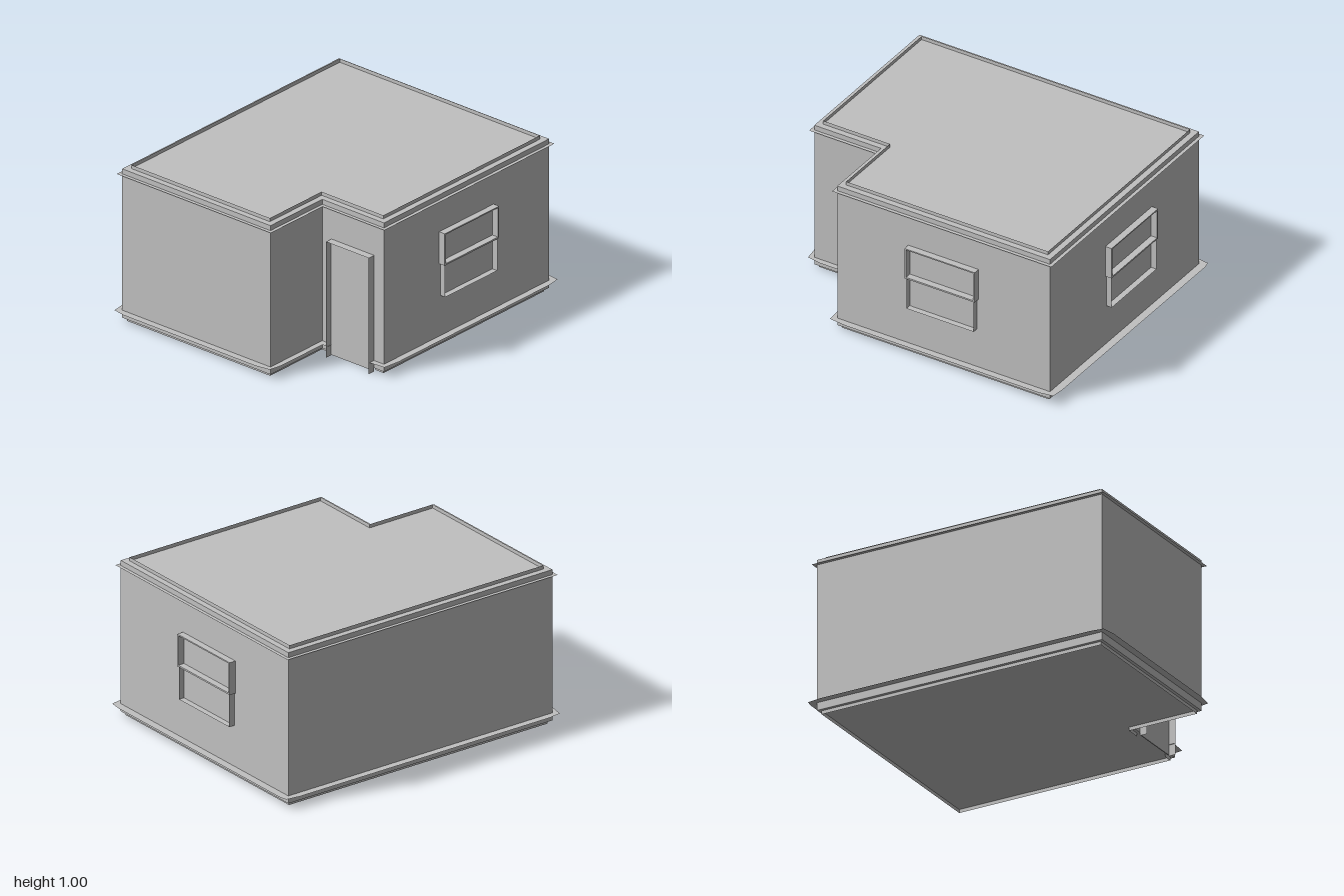
import * as THREE from 'three';

const plaster = new THREE.MeshStandardMaterial({ color: 0xc0c0c0, side: THREE.DoubleSide });
plaster.name = 'plaster grey';

function mesh(name, geometry) {
  const m = new THREE.Mesh(geometry, plaster);
  m.name = name;
  return m;
}

// L-shaped footprint as [x, z] corners, pushed outward by d
const footprint = (d) => [
  [0.8 + d, 0.5 + d], [0.8 + d, -0.95 - d], [-0.8 - d, -0.95 - d],
  [-0.8 - d, 0.955 + d], [0.33 + d, 0.955 + d], [0.33 + d, 0.5 + d],
];

const planShape = (pts) => new THREE.Shape(pts.map(([x, z]) => new THREE.Vector2(x, -z)));

// Thin horizontal ledge at height y
function ledge(name, shape, y) {
  const m = mesh(name, new THREE.ShapeGeometry(shape).rotateX(-Math.PI / 2));
  m.position.y = y;
  return m;
}

// Thin sheet that follows a polyline: base points p, swept by the vector v
function ribbon(points, v) {
  const pos = [];
  for (let i = 0; i < points.length - 1; i++) {
    const a = points[i], b = points[i + 1];
    const c = b.map((n, k) => n + v[k]), d = a.map((n, k) => n + v[k]);
    pos.push(...a, ...b, ...c, ...a, ...c, ...d);
  }
  const g = new THREE.BufferGeometry();
  g.setAttribute('position', new THREE.Float32BufferAttribute(pos, 3));
  g.computeVertexNormals();
  return g;
}

// Window standing proud of a wall, facing +z, centred on x
function createWindow(name, width) {
  const group = new THREE.Group();
  group.name = name;
  const w = width / 2, i = w - 0.01;
  // Upper sash: box frame with a narrow face
  const sash = new THREE.Shape();
  sash.moveTo(-w, 0.535).lineTo(w, 0.535).lineTo(w, 0.74).lineTo(-w, 0.74).closePath();
  const hole = new THREE.Path();
  hole.moveTo(-i, 0.545).lineTo(-i, 0.732).lineTo(i, 0.732).lineTo(i, 0.545).closePath();
  sash.holes.push(hole);
  group.add(mesh('upperSash', new THREE.ExtrudeGeometry(sash, { depth: 0.042, bevelEnabled: false })));
  // Lower sash: thin open surround
  const lower = [[-i, 0.54, 0], [-i, 0.328, 0], [i, 0.328, 0], [i, 0.54, 0]];
  group.add(mesh('lowerSash', ribbon(lower, [0, 0, 0.037])));
  return group;
}

export function createModel() {
  const house = new THREE.Group();
  house.name = 'house';

  // Walls with roof and floor
  const walls = mesh('walls', new THREE.ExtrudeGeometry(planShape(footprint(0)),
    { depth: 0.955, bevelEnabled: false }).rotateX(-Math.PI / 2));
  walls.position.y = 0.022;
  house.add(walls);

  // Roof parapet, a thin upstand set in from the walls
  const rim = footprint(-0.037).map(([x, z]) => [x, 0.977, z]);
  house.add(mesh('parapet', ribbon([...rim, rim[0]], [0, 0.023, 0])));

  // Base strip, open at the doorway
  const base = footprint(-0.02).map(([x, z]) => [x, 0, z]);
  house.add(mesh('baseStrip', ribbon([[0.72, 0, 0.48], ...base, [0.405, 0, 0.48]], [0, 0.023, 0])));

  // Cornice ledge under the roof edge
  const cornice = planShape(footprint(0.022));
  cornice.holes.push(new THREE.Path(planShape(footprint(0)).getPoints()));
  house.add(ledge('cornice', cornice, 0.945));

  // Skirting ledge with eased corners, open at the doorway
  const skirting = [
    [0.72, 0.54], [0.83, 0.53], [0.843, 0.42], [0.843, -0.9], [0.83, -0.99], [0.75, -1],
    [-0.79, -1], [-0.833, -0.99], [-0.845, -0.9], [-0.845, 0.9], [-0.833, 0.985], [-0.75, 1],
    [0.25, 1], [0.35, 0.985], [0.366, 0.9], [0.366, 0.54], [0.405, 0.54],
    [0.405, 0.5], ...footprint(0).reverse(), [0.72, 0.5],
  ];
  house.add(ledge('skirting', planShape(skirting), 0.07));

  // Door surround and door leaf in the recessed corner
  const surround = [[0.4, 0, 0.5], [0.4, 0.745, 0.5], [0.725, 0.745, 0.5], [0.725, 0, 0.5]];
  house.add(mesh('doorSurround', ribbon(surround, [0, 0, 0.048])));
  const door = mesh('door', new THREE.BoxGeometry(0.32, 0.735, 0.006));
  door.position.set(0.5625, 0.3725, 0.502);
  house.add(door);

  // Windows on the +x wall and the back wall
  const sideWindow = createWindow('sideWindow', 0.478);
  sideWindow.rotation.y = Math.PI / 2;
  sideWindow.position.set(0.8, 0, -0.224);
  const backWindow = createWindow('backWindow', 0.5);
  backWindow.rotation.y = Math.PI;
  backWindow.position.set(-0.045, 0, -0.95);
  house.add(sideWindow, backWindow);

  return house;
}
